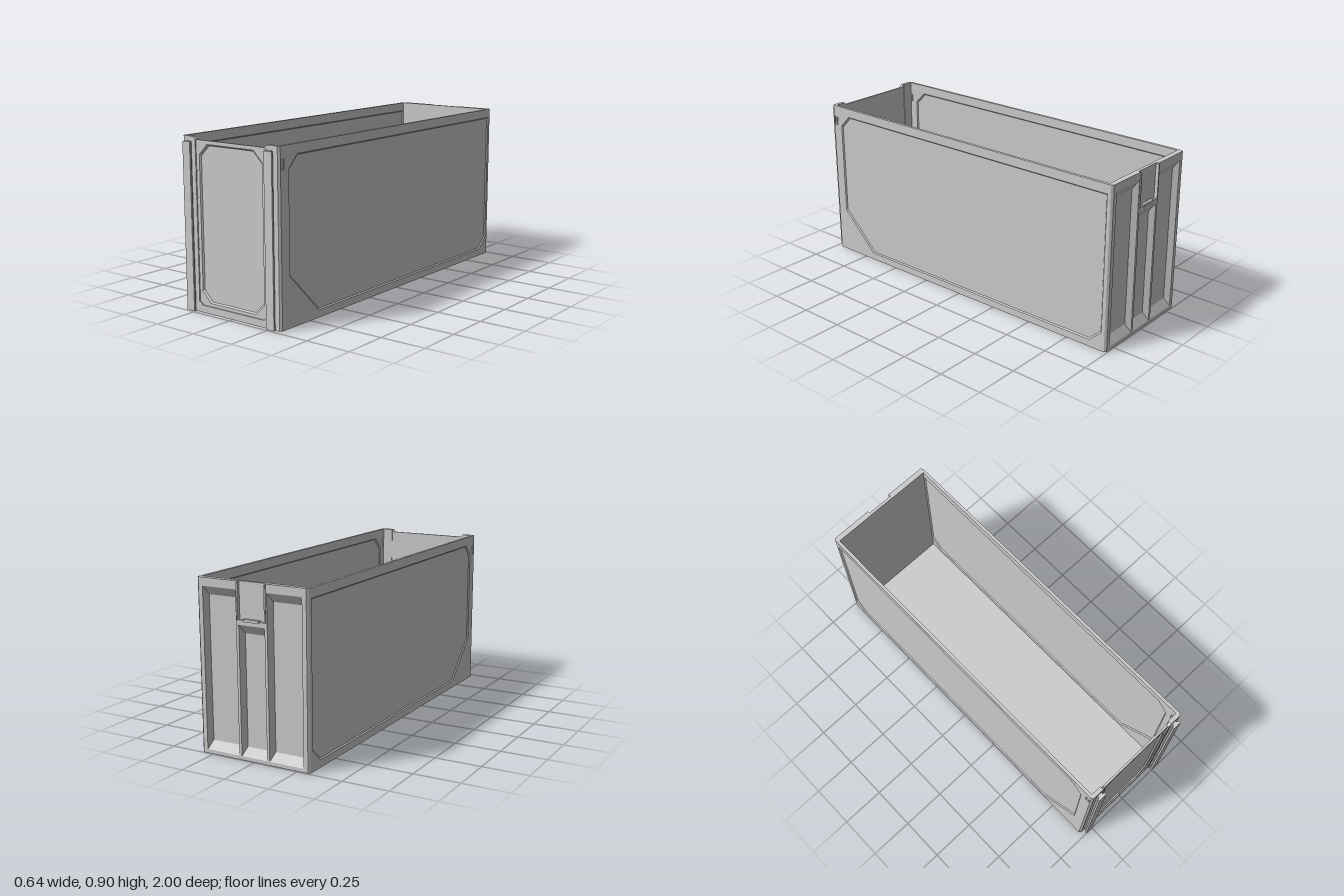
import * as THREE from 'three';

const H = 0.905;
const material = new THREE.MeshStandardMaterial({ color: 0xcccccc });

function add(parent, name, geometry) {
  const mesh = new THREE.Mesh(geometry, material);
  mesh.name = name;
  parent.add(mesh);
}

// Box given by its minimum and maximum on each axis
function box(parent, name, x0, x1, y0, y1, z0, z1) {
  const g = new THREE.BoxGeometry(x1 - x0, y1 - y0, z1 - z0);
  add(parent, name, g.translate((x0 + x1) / 2, (y0 + y1) / 2, (z0 + z1) / 2));
}

const points = (list) => list.map(([x, y]) => new THREE.Vector2(x, y));
const rect = (x0, x1, y0, y1) => [[x0, y0], [x1, y0], [x1, y1], [x0, y1]];

// Rectangle with its corners cut off
function cutRect(x, y0, y1, c) {
  return [[-x + c, y0], [x - c, y0], [x, y0 + c], [x, y1 - c],
    [x - c, y1], [-x + c, y1], [-x, y1 - c], [-x, y0 + c]];
}

function extrude(outline, depth) {
  const shape = new THREE.Shape(points(outline));
  return new THREE.ExtrudeGeometry(shape, { depth, bevelEnabled: false });
}

// Vertical prism from a plan outline of [x, z] points
function prism(parent, name, plan, y0, y1) {
  const g = extrude(plan.map(([x, z]) => [x, -z]), y1 - y0);
  add(parent, name, g.rotateX(-Math.PI / 2).translate(0, y0, 0));
}

// Move each corner towards the middle by dx and dy
function inset(outline, dx, dy) {
  const middle = (k) => {
    const v = outline.map((p) => p[k]);
    return (Math.min(...v) + Math.max(...v)) / 2;
  };
  const cx = middle(0), cy = middle(1);
  return outline.map(([x, y]) => [x - Math.sign(x - cx) * dx, y - Math.sign(y - cy) * dy]);
}

// Flat skin facing local +z, with recesses that have sloped walls and a floor
function recessedSkin(name, outline, recesses, depth) {
  const group = new THREE.Group();
  group.name = name;
  const skin = new THREE.Shape(points(outline));
  for (const { edge, dx, dy } of recesses) {
    skin.holes.push(new THREE.Path(points(edge)));
    const inner = inset(edge, dx, dy);
    const pos = [];
    edge.forEach((p, i) => {
      const j = (i + 1) % edge.length;
      const a = [...p, 0], b = [...edge[j], 0], c = [...inner[j], -depth], d = [...inner[i], -depth];
      pos.push(...a, ...b, ...c, ...a, ...c, ...d);
    });
    const walls = new THREE.BufferGeometry();
    walls.setAttribute('position', new THREE.Float32BufferAttribute(pos, 3));
    walls.computeVertexNormals();
    add(group, 'recessWalls', walls);
    const floor = new THREE.ShapeGeometry(new THREE.Shape(points(inner)));
    add(group, 'recessFloor', floor.translate(0, 0, -depth));
  }
  add(group, 'skin', new THREE.ShapeGeometry(skin));
  return group;
}

// One long side with its corner posts and front rail, built at +x
function createSide(name) {
  const side = new THREE.Group();
  side.name = name;

  // Cut-corner panel and small catch slot, sunk into both faces of the wall
  const panel = [[-0.905, 0.26], [-0.685, 0.04], [0.895, 0.04], [0.965, 0.105],
    [0.965, 0.855], [-0.84, 0.855], [-0.905, 0.79]];
  const recesses = [{ edge: panel, dx: 0.006, dy: 0.006 },
    { edge: rect(-0.96, -0.935, 0.79, 0.84), dx: 0, dy: 0 }];
  for (const s of [1, -1]) {
    const skin = recessedSkin(s > 0 ? 'outerWall' : 'innerWall',
      rect(-0.965, 0.98, 0, H), recesses, 0.0065);
    skin.rotation.y = Math.PI / 2;
    skin.position.x = 0.312 + s * 0.008;
    skin.scale.z = s;
    side.add(skin);
  }
  box(side, 'catchTongue', 0.305, 0.319, 0.79, 0.83, 0.943, 0.952);
  box(side, 'topRim', 0.304, 0.32, H - 0.008, H, -0.98, 0.965);
  box(side, 'bottomRim', 0.304, 0.32, 0, 0.008, -0.98, 0.965);

  // Corner posts with a chamfered outer edge
  prism(side, 'frontPost', [[0.245, 0.953], [0.245, 0.975], [0.31, 0.975],
    [0.32, 0.965], [0.31, 0.965], [0.31, 0.953]], 0, H);
  prism(side, 'backPost', [[0.304, -0.965], [0.31, -0.98], [0.32, -0.98], [0.319, -0.985],
    [0.309, -0.995], [0.304, -0.995]], 0, H);

  // Dovetail rail on the front
  prism(side, 'frontRail', [[0.258, 0.974], [0.258, 0.982], [0.245, 0.99], [0.245, 1],
    [0.295, 1], [0.295, 0.99], [0.282, 0.982], [0.282, 0.974]], 0.005, 0.88);

  // Clips along the front panel
  for (const y of [0.19, 0.33, 0.465, 0.6, 0.735]) {
    box(side, 'panelClip', 0.225, 0.231, y - 0.003, y + 0.003, 0.969, 0.976);
  }
  return side;
}

function createFront(model) {
  const front = new THREE.Group();
  front.name = 'frontWall';
  box(front, 'frontCore', -0.245, 0.245, 0, 0.889, 0.958, 0.961);
  box(front, 'frontLip', -0.232, 0.232, 0.88, 0.89, 0.958, 0.9695);

  // Border, open at the top, with stepped lower corners
  const half = [[0.245, 0], [0.245, H], [0.23, 0.89], [0.23, 0.053],
    [0.224, 0.053], [0.212, 0.045], [0.212, 0.038]];
  const border = [...half, ...half.map(([x, y]) => [-x, y]).reverse()];
  add(front, 'frontBorder', extrude(border, 0.017).translate(0, 0, 0.959));

  const panel = recessedSkin('frontPanel', rect(-0.232, 0.232, 0.036, 0.89),
    [{ edge: cutRect(0.209, 0.055, 0.871, 0.055), dx: 0.007, dy: 0.007 }], 0.008);
  panel.position.z = 0.97;
  front.add(panel);
  model.add(front);
}

function createBack(model) {
  const back = new THREE.Group();
  back.name = 'backWall';
  const z = -0.995, zInner = -0.965, notch = 0.08, notchY = 0.715;

  // Outer skin with three deep pockets and a notch at the top
  const outline = [[-0.307, 0], [0.307, 0], [0.307, H], [notch, H], [notch, notchY],
    [-notch, notchY], [-notch, H], [-0.307, H]];
  const pockets = [[-0.285, -0.09, 0.02, 0.862], [-0.075, 0.075, 0.02, 0.69],
    [0.09, 0.285, 0.02, 0.862]];
  const skin = recessedSkin('backSkin', outline,
    pockets.map((p) => ({ edge: rect(...p), dx: 0.018, dy: 0.045 })), 0.029);
  skin.rotation.y = Math.PI;
  skin.position.z = z;
  back.add(skin);

  // Inner face and top rim
  const inner = new THREE.PlaneGeometry(0.614, H);
  add(back, 'innerBackFace', inner.translate(0, H / 2, zInner));
  for (const s of [-1, 1]) {
    const rim = new THREE.PlaneGeometry(0.307 - notch, zInner - z).rotateX(-Math.PI / 2);
    add(back, 'backRim', rim.translate(s * (0.307 + notch) / 2, H, (z + zInner) / 2));
    // Guides that close the sides of the notch
    box(back, 'notchGuide', s * 0.08 - 0.004, s * 0.08 + 0.004, notchY, 0.9, -1, -0.98);
  }
  box(back, 'notchPlate', -notch, notch, notchY, H, -0.982, zInner - 0.001);
  box(back, 'notchLedge', -notch, notch, 0.705, notchY, z + 0.001, -0.98);
  box(back, 'notchStop', -0.045, 0.045, 0.708, 0.722, -1, -0.985);
  model.add(back);
}

export function createModel() {
  const model = new THREE.Group();
  model.name = 'openContainer';
  box(model, 'floor', -0.307, 0.307, 0, 0.015, -0.994, 0.96);

  const left = createSide('leftSide');
  const right = createSide('rightSide');
  right.scale.x = -1;
  model.add(left, right);

  createFront(model);
  createBack(model);
  return model;
}
